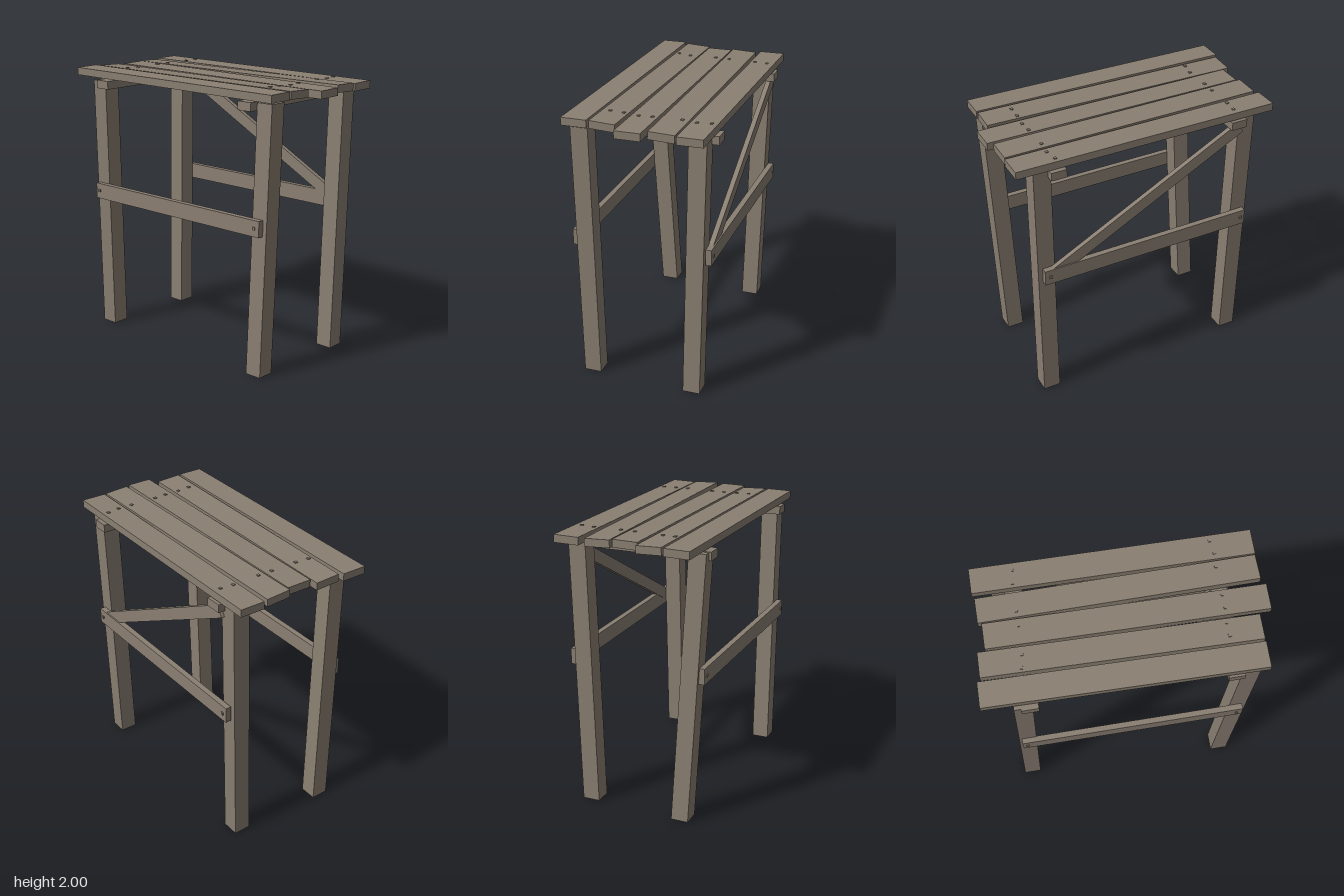
import * as THREE from 'three';

const wood = new THREE.MeshStandardMaterial({ color: 0x8a7f72 });
wood.name = 'weathered wood';

function box(parent, name, size, pos) {
  const mesh = new THREE.Mesh(new THREE.BoxGeometry(...size), wood);
  mesh.name = name;
  mesh.position.set(...pos);
  parent.add(mesh);
  return mesh;
}

// Square post whose upper end is shifted sideways: [x, z] centres at foot and head
function leg(parent, name, foot, head) {
  const h = 1.925, w = 0.125;
  const geo = new THREE.BoxGeometry(w, h, w);
  const p = geo.attributes.position;
  for (let i = 0; i < p.count; i++) {
    const t = p.getY(i) > 0 ? 1 : 0;
    const end = t ? head : foot;
    p.setXYZ(i, p.getX(i) + end[0], t * h, p.getZ(i) + end[1]);
  }
  geo.computeVertexNormals();
  const mesh = new THREE.Mesh(geo, wood);
  mesh.name = name;
  parent.add(mesh);
}

// Straight board between two centre points
function board(parent, name, a, b, height, depth) {
  const from = new THREE.Vector3(...a), to = new THREE.Vector3(...b);
  const dir = to.clone().sub(from);
  const mid = from.clone().add(to).multiplyScalar(0.5);
  const mesh = box(parent, name, [dir.length(), height, depth], mid.toArray());
  mesh.quaternion.setFromUnitVectors(new THREE.Vector3(1, 0, 0), dir.normalize());
  return mesh;
}

export function createModel() {
  const model = new THREE.Group();
  model.name = 'woodenTable';

  // Four slightly crooked legs
  leg(model, 'frontRightLeg', [-0.798, 0.345], [-0.728, 0.443]);
  leg(model, 'frontLeftLeg', [0.728, 0.398], [0.81, 0.398]);
  leg(model, 'backRightLeg', [-0.762, -0.365], [-0.772, -0.41]);
  leg(model, 'backLeftLeg', [0.762, -0.37], [0.785, -0.415]);

  // Cross beams under the top
  box(model, 'rightCrossBeam', [0.118, 0.06, 1.045], [-0.685, 1.9, -0.002]);
  box(model, 'leftCrossBeam', [0.112, 0.06, 1.045], [0.685, 1.9, -0.004]);

  // Long side rails with a nail head at each end
  for (const s of [1, -1]) {
    const side = s > 0 ? 'front' : 'back';
    box(model, side + 'Rail', [1.605, 0.115, 0.042], [0.003, 1.083, s * 0.482]);
    for (const x of [-0.765, 0.765]) {
      box(model, side + 'RailNail', [0.02, 0.02, 0.012], [x, 1.085, s * 0.505]);
    }
  }

  // Diagonal brace at the back
  board(model, 'diagonalBrace', [-0.715, 1.858, -0.477], [0.725, 1.095, -0.475], 0.088, 0.036);

  // Top planks: ends as [x, y, z], sideways tilt, nails as [x, z]
  const planks = [
    { a: [-0.96, 1.965, -0.42], b: [0.97, 1.958, -0.403], tilt: 0.01,
      nails: [[-0.67, -0.455], [-0.68, -0.36], [0.68, -0.455], [0.695, -0.36]] },
    { a: [-0.945, 1.962, -0.2], b: [0.965, 1.965, -0.21], tilt: -0.04,
      nails: [[-0.68, -0.155], [0.685, -0.255]] },
    { a: [-0.92, 1.965, -0.012], b: [0.995, 1.957, 0.01], tilt: 0.01,
      nails: [[-0.685, -0.05], [0.685, -0.05], [0.69, 0.045]] },
    { a: [-0.975, 1.962, 0.183], b: [0.907, 1.965, 0.22], tilt: -0.04,
      nails: [[-0.685, 0.155], [-0.7, 0.25], [0.68, 0.155], [0.68, 0.25]] },
    { a: [-1.0, 1.968, 0.388], b: [0.907, 1.968, 0.418], tilt: 0.01, nails: [] },
  ];
  for (const { a, b, tilt, nails } of planks) {
    const plank = board(model, 'topPlank', a, b, 0.055, 0.182);
    plank.rotateX(tilt);
    plank.updateMatrix();
    const inverse = plank.matrix.clone().invert();
    for (const [x, z] of nails) {
      const p = new THREE.Vector3(x, 1.965, z).applyMatrix4(inverse);
      box(plank, 'topNail', [0.02, 0.012, 0.02], [p.x, 0.028, p.z]);
    }
  }
  return model;
}
